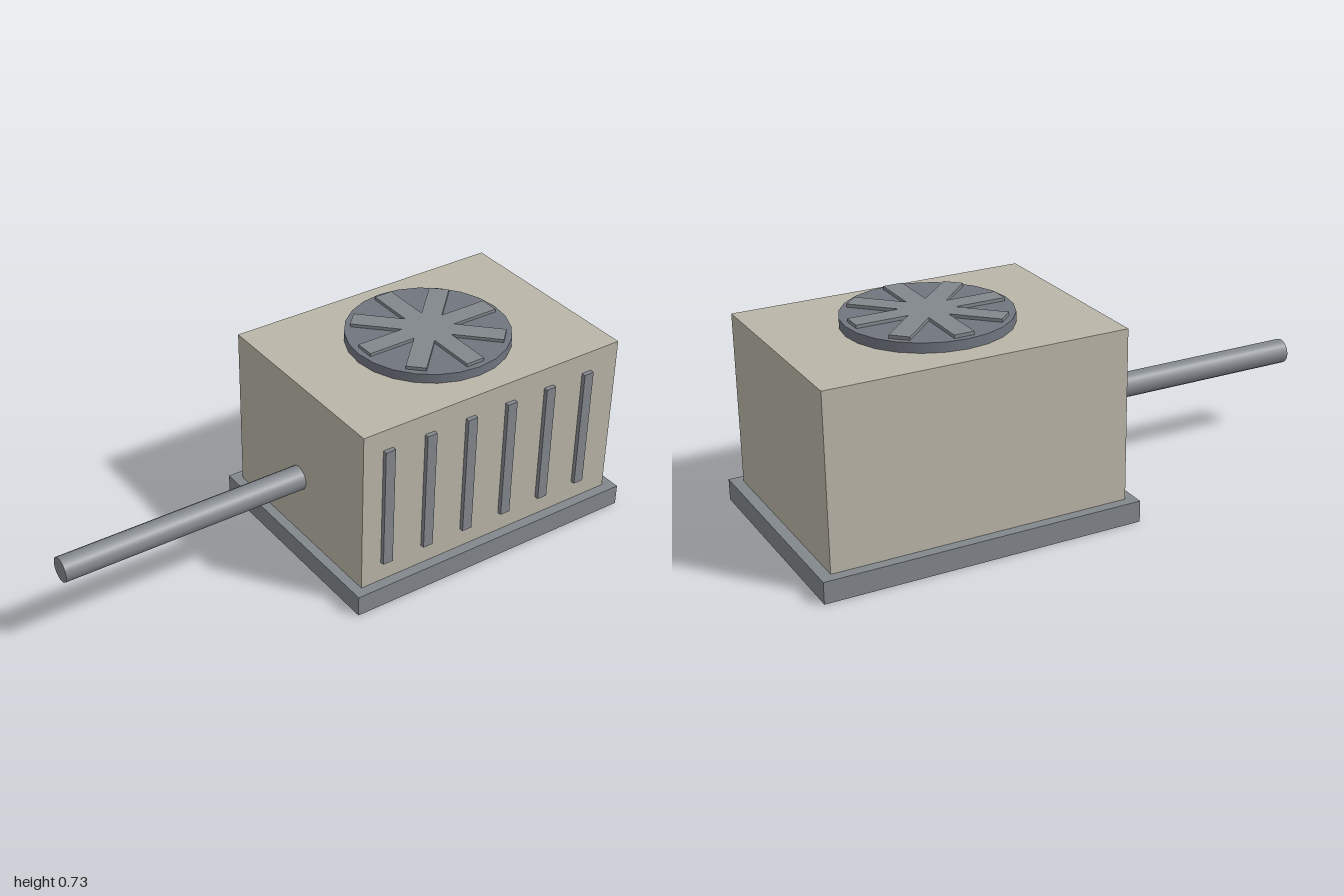
import * as THREE from 'three';

const casingMat = new THREE.MeshStandardMaterial({ color: 0xbab5a8 });
const metalMat = new THREE.MeshStandardMaterial({ color: 0x82878c });
const fanMat = new THREE.MeshStandardMaterial({ color: 0x70757f });

const CX = 0.432; // centre of the housing along x

export function createModel() {
  const model = new THREE.Group();
  model.name = 'outdoorCoolingUnit';

  const add = (name, geometry, material, x, y, z) => {
    const mesh = new THREE.Mesh(geometry, material);
    mesh.name = name;
    mesh.position.set(x, y, z);
    model.add(mesh);
    return mesh;
  };
  const box = (name, w, h, d, material, x, y, z) =>
    add(name, new THREE.BoxGeometry(w, h, d), material, x, y, z);

  // Base slab and housing
  box('base', 1.132, 0.076, 0.83, metalMat, 0.434, 0.038, 0);
  box('housing', 1.056, 0.605, 0.756, casingMat, CX, 0.3785, 0);

  // Vent slats on the front
  for (let i = 0; i < 6; i++) {
    box(`ventSlat${i + 1}`, 0.038, 0.453, 0.032, metalMat, i * 0.1652, 0.3785, 0.378);
  }

  // Fan disc with four crossed bars, making eight blades
  add('fanDisc', new THREE.CylinderGeometry(0.287, 0.287, 0.034, 24), fanMat, CX, 0.698, 0);
  for (let i = 0; i < 4; i++) {
    const bar = box(`fanBar${i + 1}`, 0.528, 0.022, 0.07, metalMat, CX, 0.7155, 0);
    bar.rotation.y = (i * Math.PI) / 4;
  }

  // Pipe leaving the right side
  const pipe = add('pipe', new THREE.CylinderGeometry(0.044, 0.044, 0.92, 16), metalMat, -0.54, 0.305, 0);
  pipe.rotation.z = Math.PI / 2;

  return model;
}
